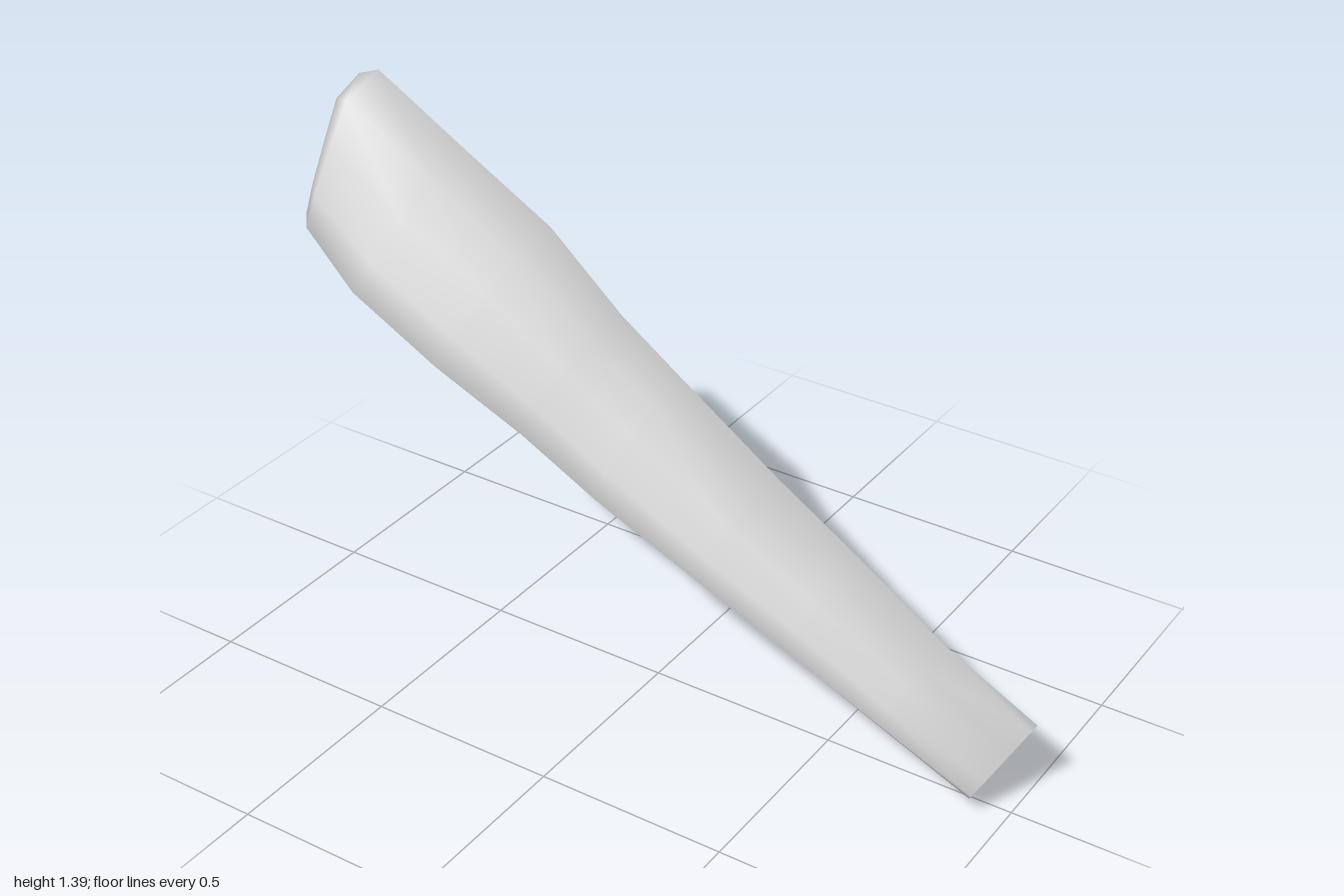
import * as THREE from 'three';

// Stations along the shaft, thick end to thin end:
// top x, y, bottom x, y, widest z front, back, top-ridge z front, back, end slant
const STATIONS = [
  [-0.97, 1.375, -1.0, 0.98, 0.125, -0.135, -0.015, -0.13, 0.13],
  [-0.915, 1.393, -0.965, 0.94, 0.15, -0.165, 0.0, -0.145, 0.04],
  [-0.65, 1.24, -0.82, 0.84, 0.187, -0.19, 0.0, -0.145, 0],
  [-0.4, 1.1, -0.58, 0.715, 0.187, -0.165, 0.0, -0.145, 0],
  [-0.18, 0.93, -0.36, 0.61, 0.157, -0.17, 0.0, -0.125, 0],
  [0.0, 0.81, -0.13, 0.49, 0.15, -0.13, 0.0, -0.12, 0],
  [0.27, 0.62, 0.14, 0.37, 0.13, -0.145, 0.0, -0.125, 0],
  [0.5, 0.48, 0.4, 0.25, 0.11, -0.14, -0.01, -0.12, 0],
  [0.75, 0.32, 0.65, 0.125, 0.085, -0.13, -0.01, -0.115, 0],
  [1.0, 0.19, 0.89, 0.0, 0.06, -0.108, -0.09, -0.108, 0],
];

// One cross-section: underside rising to the front, sides narrowing to a ridge on top
function section([tx, ty, bx, by, zf, zb, tf, tb, slant]) {
  const mix = THREE.MathUtils.lerp;
  const outline = [
    [0, zb * 0.85], [0.08, zf * 0.1], [0.17, zf * 0.75], [0.28, zf],
    [0.45, mix(zf, tf, 0.2)], [0.7, mix(zf, tf, 0.6)], [0.93, tf],
    [1, mix(tf, tb, 0.9)], [0.95, tb], [0.7, mix(zb, tb, 0.75)],
    [0.4, mix(zb, tb, 0.3)], [0.1, zb],
  ];
  return outline.map(([t, z]) => new THREE.Vector3(
    mix(bx, tx, t) + slant * (z + 0.12), mix(by, ty, t), z));
}

// Skin the sections and close both ends with fans
function loft(rings) {
  const n = rings[0].length, last = (rings.length - 1) * n, index = [];
  const points = rings.flat();
  for (let i = 0; i < rings.length - 1; i++) {
    for (let j = 0; j < n; j++) {
      const a = i * n + j, b = i * n + (j + 1) % n;
      index.push(a, a + n, b, b, a + n, b + n);
    }
  }
  for (const start of [0, last]) {
    const centre = new THREE.Vector3();
    for (let j = 0; j < n; j++) centre.addScaledVector(points[start + j], 1 / n);
    const c = points.push(centre) - 1;
    for (let j = 0; j < n; j++) {
      const a = start + j, b = start + (j + 1) % n;
      index.push(c, ...(start === 0 ? [a, b] : [b, a]));
    }
  }
  const geometry = new THREE.BufferGeometry().setFromPoints(points);
  geometry.setIndex(index);
  geometry.computeVertexNormals();
  return geometry;
}

export function createModel() {
  const group = new THREE.Group();
  group.name = 'club';
  const material = new THREE.MeshStandardMaterial({ color: 0xcccccc });
  const shaft = new THREE.Mesh(loft(STATIONS.map(section)), material);
  shaft.name = 'taperedShaft';
  group.add(shaft);
  return group;
}
